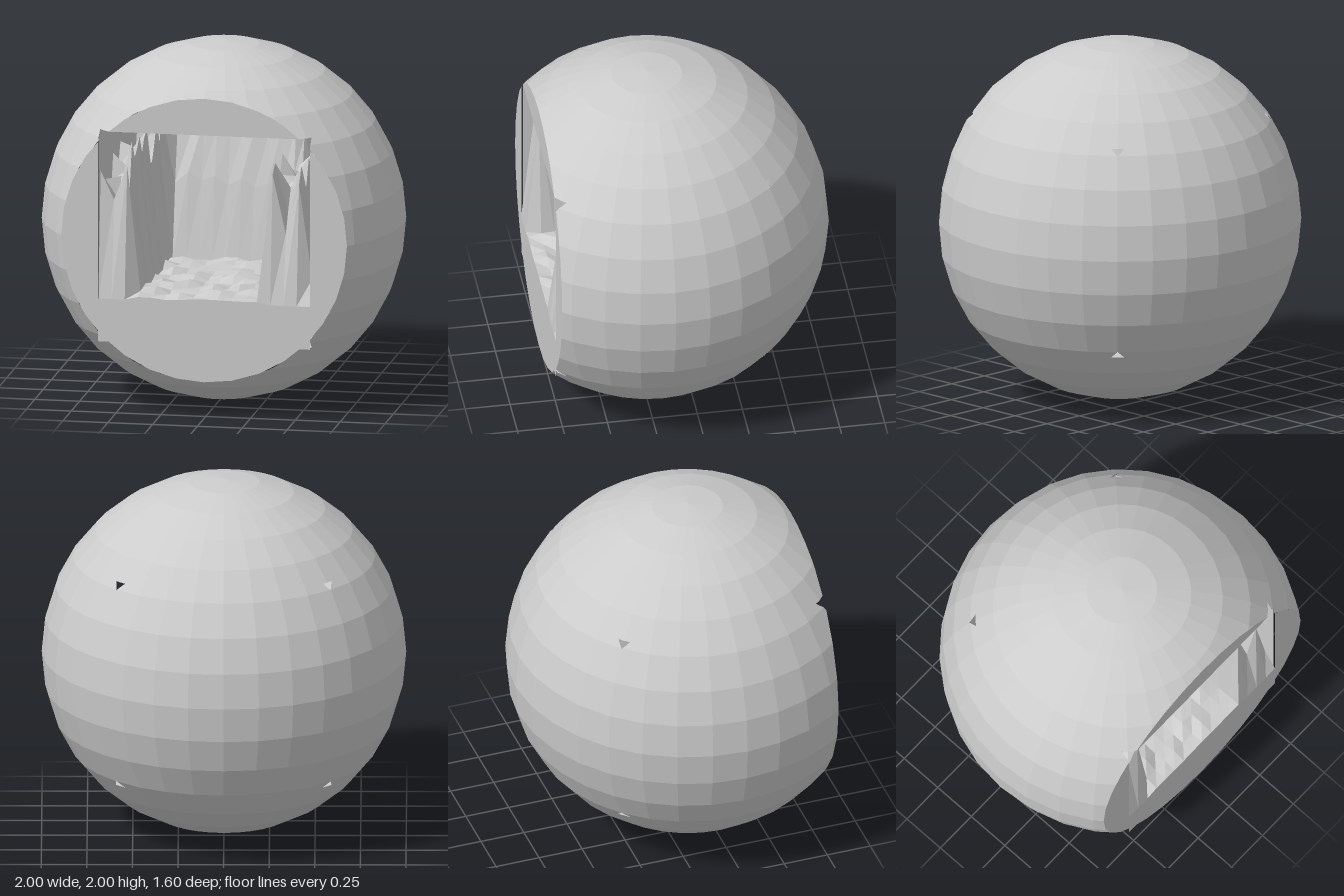
import * as THREE from 'three';

const H = 0.59;      // half size of the square chamber
const FRONT = 0.6;   // cut plane of the ball, measured from its centre

// Split a convex polygon by the plane n.p = d into [below, above]
function split(poly, n, d) {
  const below = [], above = [];
  poly.forEach((a, i) => {
    const b = poly[(i + 1) % poly.length];
    const da = a.dot(n) - d, db = b.dot(n) - d;
    if (da <= 0) below.push(a);
    if (da >= 0) above.push(a);
    if (da * db < 0) {
      const m = a.clone().lerp(b, da / (da - db));
      below.push(m);
      above.push(m);
    }
  });
  return [below, above];
}

function toPolys(geometry) {
  const p = geometry.toNonIndexed().attributes.position, out = [];
  for (let i = 0; i < p.count; i += 3) {
    out.push([0, 1, 2].map(k => new THREE.Vector3().fromBufferAttribute(p, i + k)));
  }
  return out;
}

function fromPolys(polys) {
  const pts = [];
  for (const q of polys) {
    for (let k = 1; k < q.length - 1; k++) pts.push(q[0], q[k], q[k + 1]);
  }
  const g = new THREE.BufferGeometry().setFromPoints(pts);
  g.computeVertexNormals();
  return g;
}

// Keep only what lies outside the chamber
function carve(polys) {
  const out = [];
  const planes = [[1, 0, 0], [-1, 0, 0], [0, 1, 0], [0, -1, 0], [0, 0, -1]];
  for (let q of polys) {
    for (const n of planes) {
      if (q.length < 3) break;
      const [inside, outside] = split(q, new THREE.Vector3(...n), H);
      if (outside.length > 2) out.push(outside);
      q = inside;
    }
  }
  return out;
}

function randomizer(seed) {
  return () => {
    seed = (seed * 16807) % 2147483647;
    return seed / 2147483647;
  };
}

export function createModel() {
  const group = new THREE.Group();
  const grey = new THREE.MeshStandardMaterial({ color: 0xcccccc, flatShading: true });
  grey.name = 'plain grey';
  const body = new THREE.Group();
  body.position.set(0, 1, 0.2);
  group.add(body);
  const add = (name, geometry) => {
    const m = new THREE.Mesh(geometry, grey);
    m.name = name;
    body.add(m);
    return m;
  };

  // Faceted ball, sliced flat at the front, with the chamber corners cut through
  const zAxis = new THREE.Vector3(0, 0, 1);
  const ball = toPolys(new THREE.SphereGeometry(1, 32, 16))
    .map(q => split(q, zAxis, FRONT)[0]).filter(q => q.length > 2);
  add('ballShell', fromPolys(carve(ball)));

  // Flat front around the square opening
  const disc = toPolys(new THREE.CircleGeometry(0.797, 32).translate(0, 0, FRONT));
  add('frontFace', fromPolys(carve(disc)));

  // Chamber walls, facing inward, with clipped corners
  const c = 0.545;
  const outline = [[H, -c], [H, c], [c, H], [-c, H], [-H, c], [-H, -c], [-c, -H], [c, -H]];
  const wallShape = new THREE.Shape(outline.map(p => new THREE.Vector2(...p)));
  const wall = (name, rx, ry, x, y, z) => {
    const m = add(name, new THREE.ShapeGeometry(wallShape));
    m.rotation.set(rx, ry, 0);
    m.position.set(x, y, z);
  };
  wall('backWall', 0, 0, 0, 0, -H);
  wall('leftWall', 0, -Math.PI / 2, H, 0, 0);
  wall('rightWall', 0, Math.PI / 2, -H, 0, 0);
  wall('ceiling', Math.PI / 2, 0, 0, H, 0);
  wall('chamberBase', -Math.PI / 2, 0, 0, -H, 0);

  // Rough ground with jagged cliffs along both sides and the back
  const N = 16, rnd = randomizer(77);
  const leftTops = [0.4, 0.36, 0.5], rightTops = [0.36, 0.24, 0.33, 0.0];
  const land = new THREE.PlaneGeometry(2 * H, H + FRONT, N, N).rotateX(-Math.PI / 2);
  land.translate(0, 0, (FRONT - H) / 2);
  const p = land.attributes.position;
  for (let j = 0; j <= N; j++) {
    for (let i = 0; i <= N; i++) {
      const r = rnd();
      let y = -0.345 + 0.045 * r * r;
      if (j === N) y = -0.35 + 0.02 * r * (i > 2 && i < 13 ? 1 : 0);
      else if (i <= 2) y = leftTops[i] - 0.3 * r;
      else if (i >= 13) y = rightTops[i - 13] + 0.08 - 0.3 * r;
      else if (j === 0) y = 0.33 + 0.08 * r;
      else if (j === 1) y = 0.05 + 0.09 * r;
      p.setY(j * (N + 1) + i, y);
    }
  }
  const ground = land.toNonIndexed();
  ground.computeVertexNormals();
  add('rockyGround', ground);

  // Front edge of the ground, following its first row
  const edge = [new THREE.Vector2(-H, -H), new THREE.Vector2(H, -H)];
  for (let i = N; i >= 0; i--) {
    const k = N * (N + 1) + i;
    edge.push(new THREE.Vector2(p.getX(k), p.getY(k)));
  }
  add('groundFront', new THREE.ShapeGeometry(new THREE.Shape(edge)).translate(0, 0, FRONT));

  return group;
}
